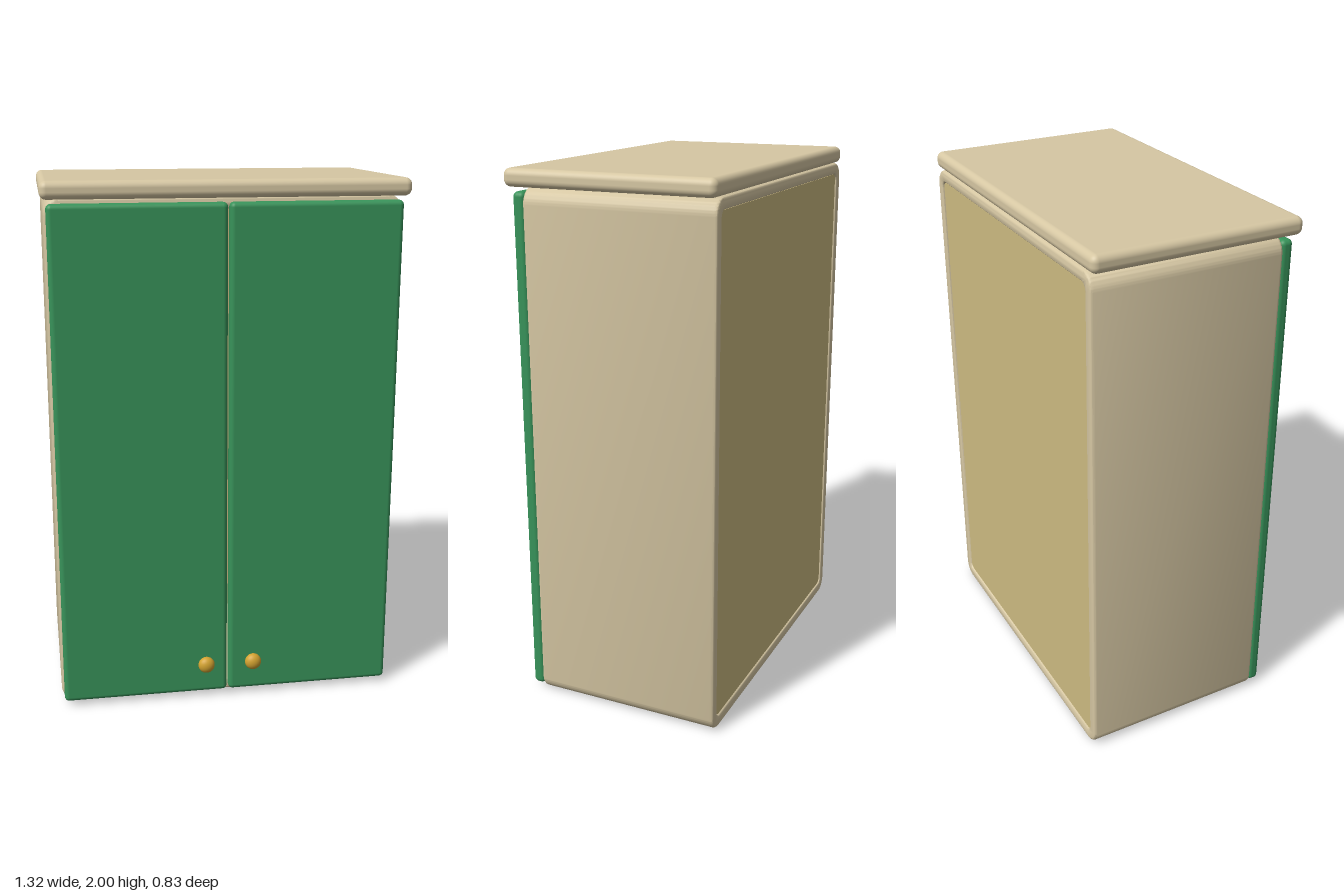
import * as THREE from 'three';
import { toCreasedNormals } from 'three/addons/utils/BufferGeometryUtils.js';
import { RoundedBoxGeometry } from 'three/addons/geometries/RoundedBoxGeometry.js';

const material = (name, color) => {
  const m = new THREE.MeshStandardMaterial({ color });
  m.name = name;
  return m;
};

// Traces a rounded rectangle centred on x, from y0 to y1
function roundedRect(path, halfWidth, y0, y1, r) {
  const w = halfWidth;
  path.moveTo(-w + r, y0);
  path.lineTo(w - r, y0);
  path.absarc(w - r, y0 + r, r, -Math.PI / 2, 0, false);
  path.lineTo(w, y1 - r);
  path.absarc(w - r, y1 - r, r, 0, Math.PI / 2, false);
  path.lineTo(-w + r, y1);
  path.absarc(-w + r, y1 - r, r, Math.PI / 2, Math.PI, false);
  path.lineTo(-w, y0 + r);
  path.absarc(-w + r, y0 + r, r, Math.PI, Math.PI * 1.5, false);
  return path;
}

export function createModel() {
  const cream = material('cream wood', 0xd6c7a3);
  const green = material('green paint', 0x38935a);
  const backing = material('backing board', 0xcdbb82);
  const gold = material('gold metal', 0xd2a230);

  const model = new THREE.Group();
  model.name = 'cabinet';
  const add = (name, geometry, mat, x, y, z, parent = model) => {
    const mesh = new THREE.Mesh(geometry, mat);
    mesh.name = name;
    mesh.position.set(x, y, z);
    parent.add(mesh);
    return mesh;
  };

  // Carcass: a hollow rounded tube running front to back
  const bevel = 0.012;
  const outline = roundedRect(new THREE.Shape(), 0.65, 0, 1.938, 0.06);
  outline.holes.push(roundedRect(new THREE.Path(), 0.605, 0.045, 1.893, 0.025));
  const carcass = new THREE.ExtrudeGeometry(outline, {
    depth: 0.72 - 2 * bevel, curveSegments: 10,
    bevelSize: bevel, bevelThickness: bevel, bevelOffset: -bevel, bevelSegments: 4,
  });
  add('carcass', toCreasedNormals(carcass, 0.6), cream, 0, 0, -0.415 + bevel);

  // Back panel set just inside the rim
  const panel = roundedRect(new THREE.Shape(), 0.605, 0.045, 1.893, 0.025);
  add('backPanel', new THREE.ExtrudeGeometry(panel, { depth: 0.02, bevelEnabled: false }),
    backing, 0, 0, -0.408);

  // Top board overhanging the doors
  add('topBoard', new RoundedBoxGeometry(1.324, 0.064, 0.79, 5, 0.025), cream, 0, 1.968, -0.02);

  // Mirrored doors, each with a knob near the lower inner corner
  for (const side of [-1, 1]) {
    const door = new THREE.Group();
    door.name = side > 0 ? 'leftDoor' : 'rightDoor';
    model.add(door);
    add('doorPanel', new RoundedBoxGeometry(0.638, 1.9, 0.048, 4, 0.018), green,
      side * 0.322, 0.97, 0.327, door);
    const stem = add('knobStem', new THREE.CylinderGeometry(0.012, 0.012, 0.05, 16), gold,
      side * 0.092, 0.157, 0.37, door);
    stem.rotation.x = Math.PI / 2;
    const knob = add('knob', new THREE.SphereGeometry(0.032, 24, 16), gold,
      side * 0.092, 0.157, 0.391, door);
    knob.scale.z = 0.75;
  }
  return model;
}
